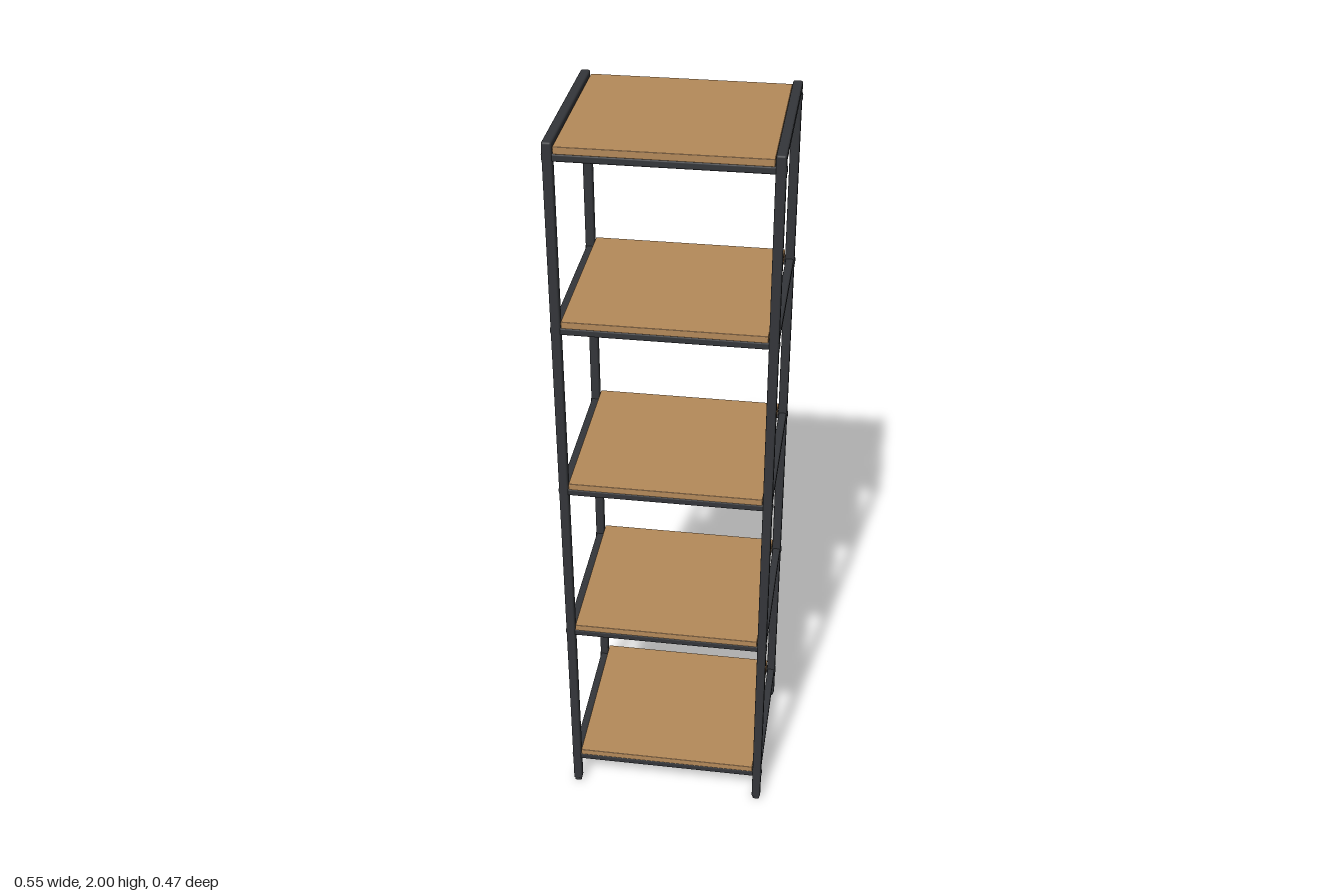
import * as THREE from 'three';
import { RoundedBoxGeometry } from 'three/addons/geometries/RoundedBoxGeometry.js';

export function createModel() {
  const group = new THREE.Group();
  const metal = new THREE.MeshStandardMaterial({ color: 0x34363a });
  metal.name = 'dark metal';
  const wood = new THREE.MeshStandardMaterial({ color: 0xb58a5a });
  wood.name = 'wood';

  // A box placed by its centre, with softly rounded edges
  function bar(name, w, h, d, x, y, z, material = metal, radius = 0.005) {
    const mesh = new THREE.Mesh(new RoundedBoxGeometry(w, h, d, 2, radius), material);
    mesh.name = name;
    mesh.position.set(x, y, z);
    group.add(mesh);
  }

  const postX = 0.263, postZ = 0.222, tube = 0.024;

  for (const sx of [-1, 1]) {
    const side = sx > 0 ? 'left' : 'right';
    for (const sz of [-1, 1]) {
      const end = sz > 0 ? 'Front' : 'Back';
      // Corner posts with slightly narrower rounded feet
      bar(side + end + 'Post', tube, 1.99, tube, sx * postX, 1.005, sz * postZ);
      bar(side + end + 'Foot', 0.02, 0.02, 0.02, sx * postX, 0.01, sz * postZ);
    }
    // Bar joining the tops of the posts
    bar(side + 'TopRail', tube, 0.022, 0.467, sx * postX, 1.989, 0);
  }

  // Shelves, given by the height of the board's upper face
  [0.128, 0.6, 1.072, 1.545, 1.99].forEach((top, i) => {
    bar('shelfBoard', 0.499, 0.018, 0.463, 0, top - 0.009, 0, wood, 0.0015);
    const railY = top - 0.027;
    // Front and back rails, their ends just passing through the posts
    for (const sz of [-1, 1]) {
      bar(sz > 0 ? 'frontRail' : 'backRail', 0.554, 0.02, 0.019, 0, railY, sz * postZ);
    }
    // Side rails; the top shelf uses the top bars instead
    if (i < 4) {
      for (const sx of [-1, 1]) {
        bar(sx > 0 ? 'leftRail' : 'rightRail', 0.021, 0.021, 0.44, sx * postX, railY, 0);
      }
    }
  });

  return group;
}
